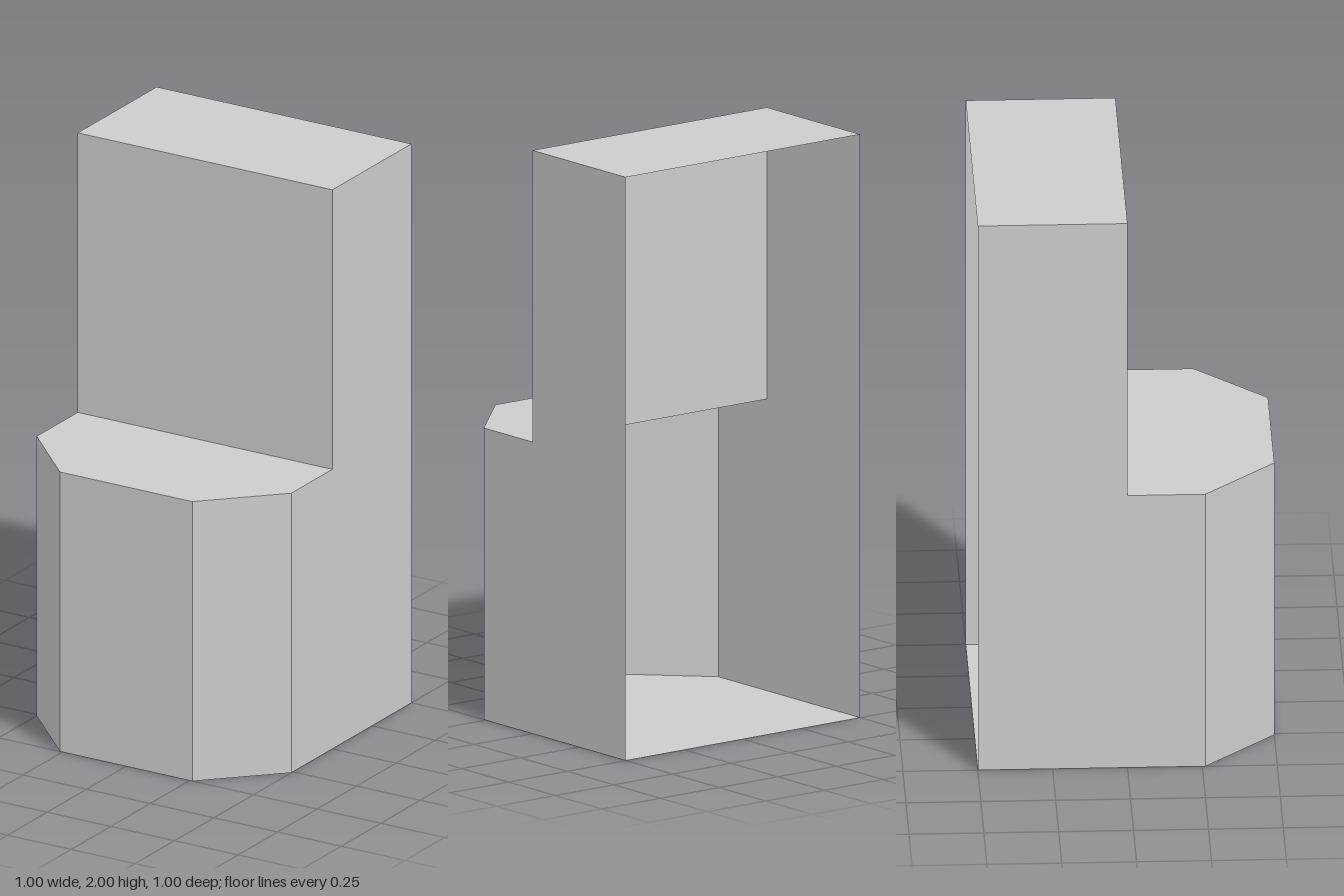
import * as THREE from 'three';

const H = 0.5;      // half width and depth
const C = 0.26;     // where the corner chamfers start
const LOW = 1;      // height of the front bay
const TALL = 2;     // height of the back section

export function createModel() {
  const model = new THREE.Group();
  const grey = new THREE.MeshStandardMaterial({ color: 0xcccccc, side: THREE.DoubleSide });
  grey.name = 'lightGrey';

  const add = (name, geometry) => {
    const mesh = new THREE.Mesh(geometry, grey);
    mesh.name = name;
    model.add(mesh);
    return mesh;
  };
  const flat = (points) =>
    new THREE.ShapeGeometry(new THREE.Shape(points.map(([x, y]) => new THREE.Vector2(x, y))));

  // Upright rectangular wall facing the given angle about y
  const wall = (name, width, y0, y1, x, z, angle) => {
    const mesh = add(name, new THREE.PlaneGeometry(width, y1 - y0));
    mesh.position.set(x, (y0 + y1) / 2, z);
    mesh.rotation.y = angle;
  };

  // Front walls of the low bay and of the tall section
  wall('bayFront', 2 * C, 0, LOW, 0, H, 0);
  wall('upperFront', 2 * H, LOW, TALL, 0, 0, 0);

  // Stepped side walls and chamfered corners, mirrored
  for (const [side, s] of [['left', 1], ['right', -1]]) {
    const profile = [[-H, 0], [C, 0], [C, LOW], [0, LOW], [0, TALL], [-H, TALL]];
    const panel = add(side + 'SideWall', flat(profile.map(([z, y]) => [-s * z, y])));
    panel.rotation.y = s * Math.PI / 2;
    panel.position.x = s * H;
    const mid = (H + C) / 2;
    wall(side + 'Chamfer', (H - C) * Math.SQRT2, 0, LOW, s * mid, mid, s * Math.PI / 4);
  }

  // Floor, bay top and roof; the back stays open
  const bay = [[H, C], [C, H], [-C, H], [-H, C]];
  add('floor', flat([[-H, -H], [H, -H], ...bay]).rotateX(Math.PI / 2));
  const up = (points) => flat(points.map(([x, z]) => [x, -z])).rotateX(-Math.PI / 2);
  add('bayTop', up([[-H, 0], [H, 0], ...bay])).position.y = LOW;
  add('roof', up([[-H, -H], [H, -H], [H, 0], [-H, 0]])).position.y = TALL;

  return model;
}
